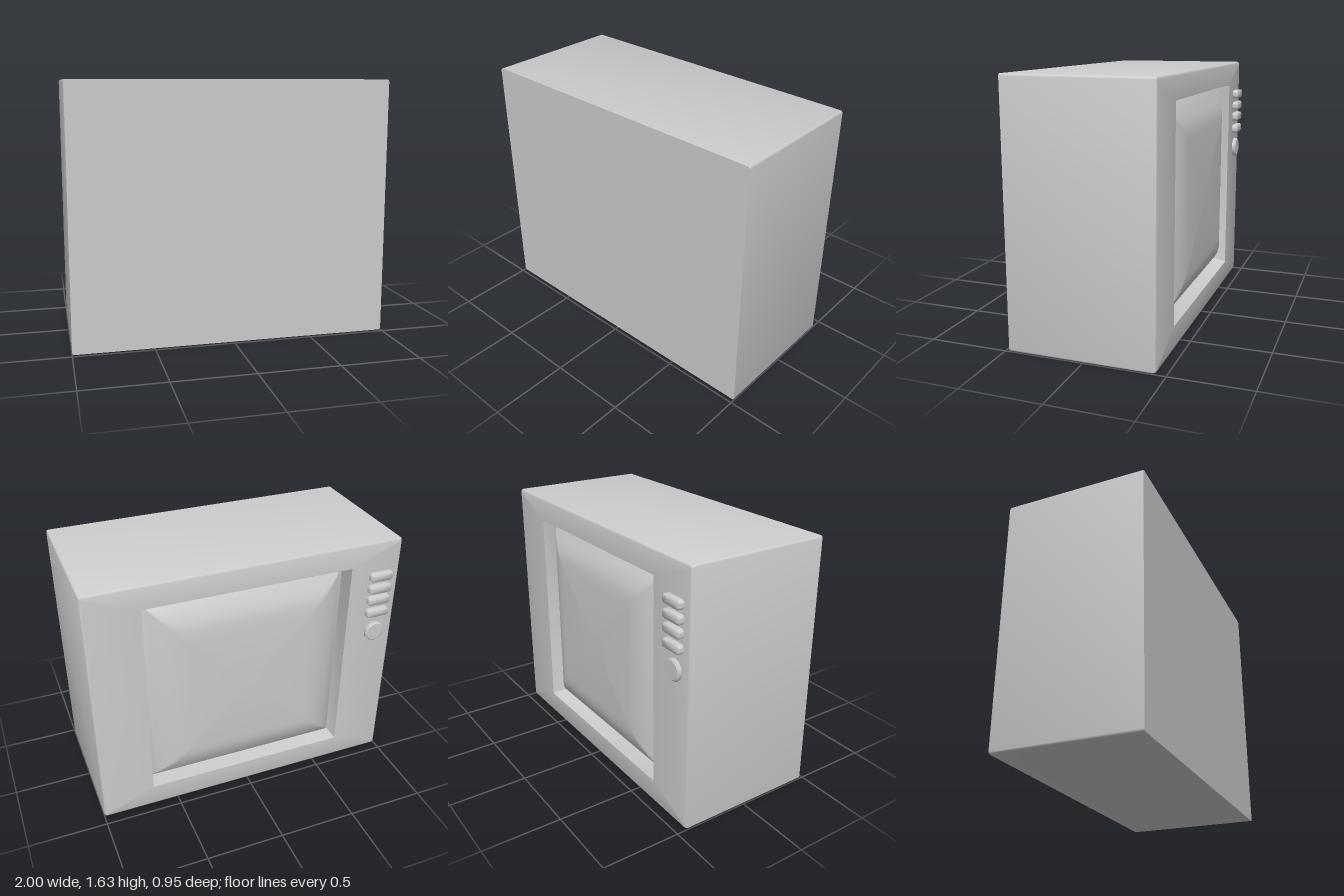
import * as THREE from 'three';
import { toCreasedNormals } from 'three/addons/utils/BufferGeometryUtils.js';

const MID_Y = 0.815;

// Rounded rectangle, counter-clockwise seen from +z
function rectPoints(hw, hh, r, steps = 3) {
  const pts = [];
  [[1, 1], [-1, 1], [-1, -1], [1, -1]].forEach(([sx, sy], q) => {
    for (let i = 0; i <= steps; i++) {
      const a = (q + i / steps) * Math.PI / 2;
      pts.push(new THREE.Vector2(sx * (hw - r) + r * Math.cos(a), sy * (hh - r) + r * Math.sin(a)));
    }
  });
  return pts;
}

// Skin a row of rounded rectangles [halfWidth, halfHeight, radius, z], running towards -z
function loft(rings, crease, closeEnd = false) {
  const pos = [], idx = [];
  const n = rectPoints(1, 1, 0.1).length;
  for (const [hw, hh, r, z] of rings) for (const p of rectPoints(hw, hh, r)) pos.push(p.x, p.y, z);
  for (let i = 0; i < rings.length - 1; i++) {
    for (let j = 0; j < n; j++) {
      const a = i * n + j, b = i * n + (j + 1) % n;
      idx.push(a, a + n, b, b, a + n, b + n);
    }
  }
  if (closeEnd) {
    const last = (rings.length - 1) * n, centre = rings.length * n;
    pos.push(0, 0, rings[rings.length - 1][3]);
    for (let j = 0; j < n; j++) idx.push(last + j, centre, last + (j + 1) % n);
  }
  const geo = new THREE.BufferGeometry();
  geo.setAttribute('position', new THREE.Float32BufferAttribute(pos, 3));
  geo.setIndex(idx);
  return toCreasedNormals(geo, crease);
}

export function createModel() {
  const group = new THREE.Group();
  const mat = new THREE.MeshStandardMaterial({ color: 0xcccccc });
  const add = (name, geo, x, y, z) => {
    const mesh = new THREE.Mesh(geo, mat);
    mesh.name = name;
    mesh.position.set(x, y, z);
    group.add(mesh);
    return mesh;
  };

  // Cabinet: side walls, softened edge, flat bezel and recess wall
  add('cabinet', loft([
    [1, MID_Y, 0.015, 0.473],
    [1, MID_Y, 0.015, -0.424],
    [0.995, MID_Y - 0.005, 0.015, -0.435],
    [0.984, MID_Y - 0.016, 0.015, -0.44],
    [0.663, 0.665, 0.008, -0.44],
    [0.65, 0.652, 0.008, -0.34],
  ], 0.7), 0, MID_Y, 0);

  // Flat panel closing the +z side
  add('flatPanel', new THREE.ShapeGeometry(new THREE.Shape(rectPoints(1, MID_Y, 0.015))), 0, MID_Y, 0.473);

  // Pillow-shaped screen in the recess
  add('screen', loft([
    [0.65, 0.652, 0.008, -0.34],
    [0.61, 0.612, 0.01, -0.374],
    [0.56, 0.565, 0.015, -0.404],
    [0.5, 0.51, 0.02, -0.428],
    [0.45, 0.465, 0.02, -0.44],
    [0.4, 0.41, 0.02, -0.446],
  ], 0.7, true), 0, MID_Y, 0);

  // Column of push buttons
  const buttonGeo = loft([
    [0.078, 0.028, 0.02, 0.006],
    [0.078, 0.028, 0.02, -0.03],
    [0.074, 0.024, 0.018, -0.035],
  ], 0.9, true);
  [1.4, 1.315, 1.235, 1.145].forEach((y, i) => add('button' + (i + 1), buttonGeo, -0.867, y, -0.44));

  // Round dial with a softened rim
  const dialProfile = [[0.068, -0.005], [0.068, 0.017], [0.058, 0.024], [0, 0.024]]
    .map(([r, h]) => new THREE.Vector2(r, h));
  const dial = add('dial', toCreasedNormals(new THREE.LatheGeometry(dialProfile, 12), 0.6), -0.867, 1.0, -0.44);
  dial.rotation.x = -Math.PI / 2;

  return group;
}
